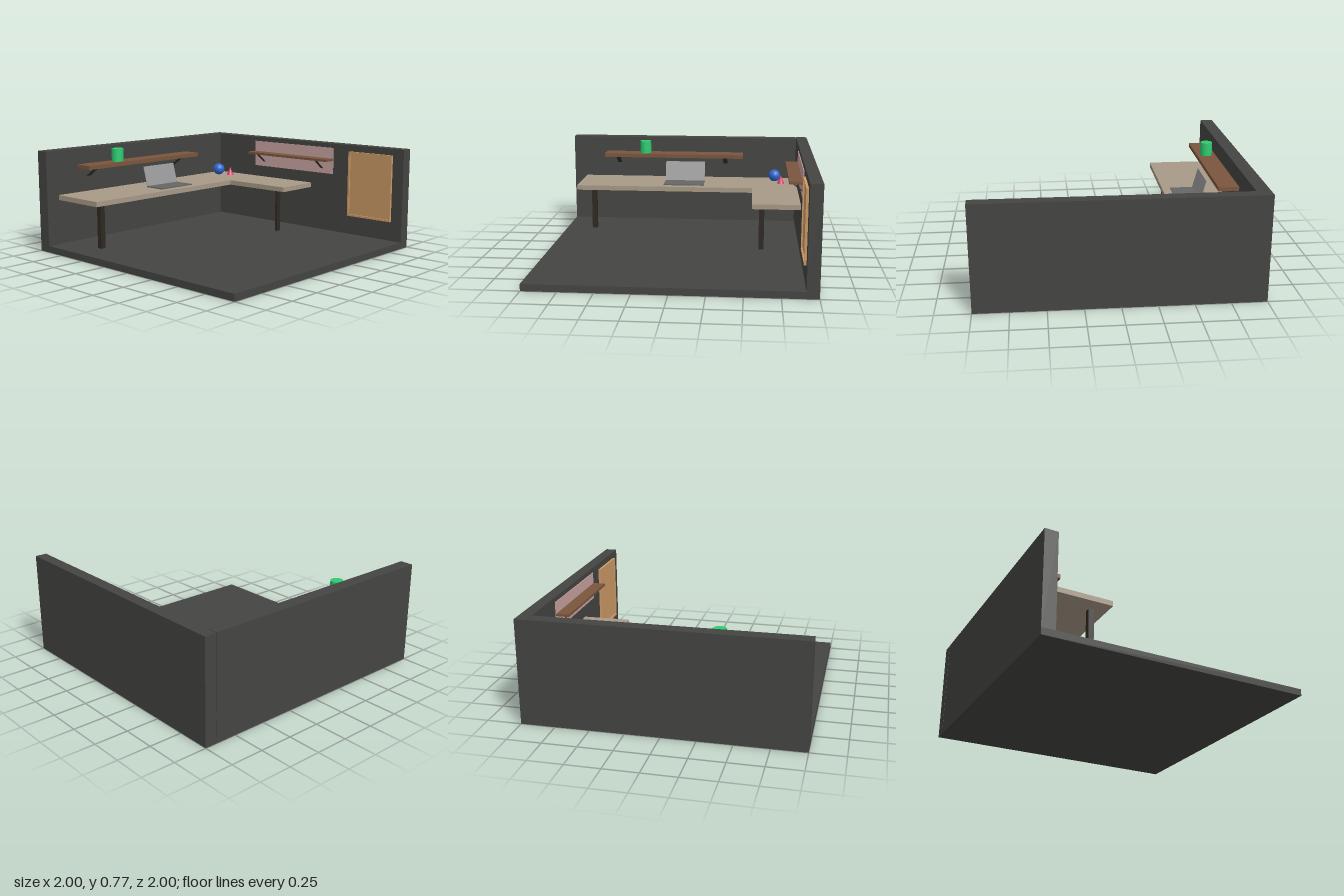
import * as THREE from 'three';

const mat = (color) => new THREE.MeshStandardMaterial({ color });
const M = {
  wall: mat(0x444442), desk: mat(0xa89a86), leg: mat(0x2f2822), shelf: mat(0x7a553d),
  backing: mat(0xc9a3a0), bracket: mat(0x333333), board: mat(0xcc9966), laptop: mat(0x999999),
  keys: mat(0x666666), green: mat(0x2ecc71), blue: mat(0x2f66cc), red: mat(0xe03a6e),
};

export function createModel() {
  const root = new THREE.Group();

  const add = (name, geometry, material, x = 0, y = 0, z = 0) => {
    const mesh = new THREE.Mesh(geometry, material);
    mesh.name = name;
    mesh.position.set(x, y, z);
    root.add(mesh);
    return mesh;
  };
  // Box given by its extents on each axis
  const box = (name, material, [x0, x1], [y0, y1], [z0, z1]) =>
    add(name, new THREE.BoxGeometry(x1 - x0, y1 - y0, z1 - z0), material,
      (x0 + x1) / 2, (y0 + y1) / 2, (z0 + z1) / 2);

  // Room shell
  box('floor', M.wall, [-1, 1], [0, 0.05], [-1, 1]);
  box('backWall', M.wall, [-1, 1], [0.05, 0.77], [-1, -0.912]);
  box('sideWall', M.wall, [-1, -0.9], [0.05, 0.77], [-0.908, 1]);

  // L-shaped desk and its legs
  box('longDesktop', M.desk, [-0.9, -0.447], [0.392, 0.43], [-0.908, 0.895]);
  box('shortDesktop', M.desk, [-0.445, 0.13], [0.392, 0.43], [-0.908, -0.545]);
  box('longDeskLeg', M.leg, [-0.575, -0.535], [0.05, 0.392], [0.75, 0.79]);
  box('shortDeskLeg', M.leg, [0, 0.02], [0.05, 0.392], [-0.64, -0.6]);

  // Wall shelves
  box('backShelf', M.shelf, [-0.48, 0.35], [0.63, 0.648], [-0.908, -0.808]);
  box('shelfBacking', M.backing, [-0.48, 0.35], [0.522, 0.735], [-0.911, -0.905]);
  box('sideShelf', M.shelf, [-0.9, -0.75], [0.617, 0.647], [-0.46, 0.713]);

  // Slanted thin braces running from the wall up to the shelf underside
  const brace = (width, reach, drop) => new THREE.BoxGeometry(width, 0.005, Math.hypot(reach, drop));
  for (const x of [-0.375, 0.24]) {
    const b = add('backShelfBrace', brace(0.022, 0.085, 0.067), M.bracket, x, 0.596, -0.863);
    b.rotation.x = -Math.atan2(0.067, 0.085);
  }
  for (const z of [0.605, -0.31]) {
    const b = add('sideShelfBrace', brace(0.035, 0.1, 0.067), M.bracket, -0.85, 0.583, z);
    b.rotation.set(-Math.atan2(0.067, 0.1), Math.PI / 2, 0, 'YXZ');
  }

  // Framed pin board on the back wall
  box('boardPanel', M.board, [0.515, 0.895], [0.21, 0.71], [-0.912, -0.905]);
  for (const x of [0.505, 0.89]) box('boardFrameSide', M.board, [x, x + 0.015], [0.2, 0.72], [-0.912, -0.894]);
  for (const y of [0.2, 0.705]) box('boardFrameRail', M.board, [0.52, 0.89], [y, y + 0.015], [-0.912, -0.894]);

  // Laptop with tilted screen
  box('laptopBase', M.keys, [-0.69, -0.51], [0.43, 0.438], [-0.145, 0.185]);
  const lean = Math.atan2(0.042, 0.155);
  const screen = add('laptopScreen', new THREE.BoxGeometry(0.006, 0.16, 0.328), M.laptop, -0.708, 0.515, 0.02);
  screen.rotation.z = lean;

  // Ornaments
  add('cylinderOrnament', new THREE.CylinderGeometry(0.047, 0.047, 0.103, 32), M.green, -0.825, 0.698, 0.37);
  add('ballOrnament', new THREE.SphereGeometry(0.049, 32, 20), M.blue, -0.753, 0.48, -0.728);
  add('coneOrnament', new THREE.ConeGeometry(0.038, 0.085, 32), M.red, -0.665, 0.455, -0.78);

  return root;
}
